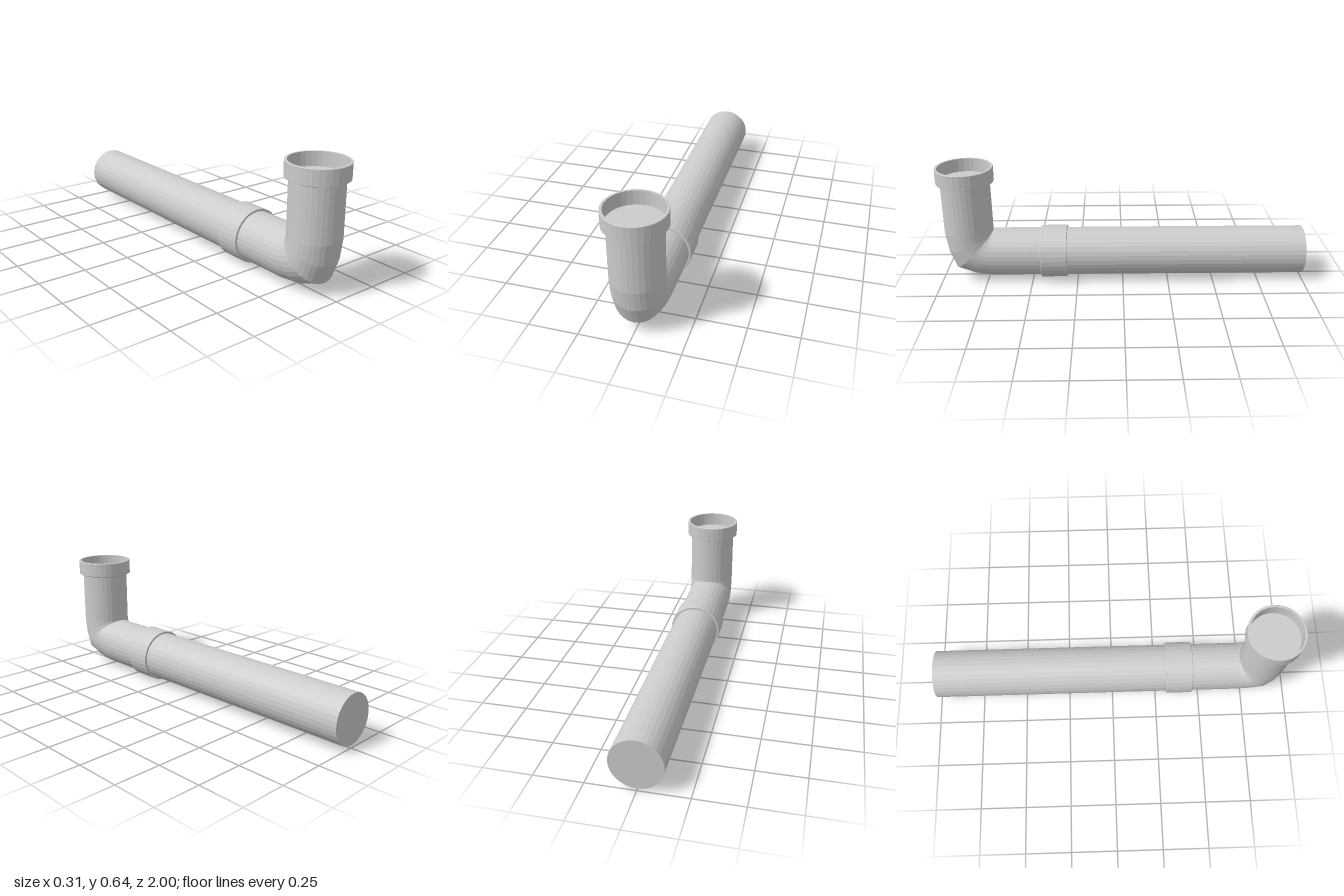
import * as THREE from 'three';

const SIDES = 32;
const R = 0.132;                       // pipe radius
const HINGE = { y: 0.277, z: 0.713 };  // inside corner of the elbow
const AXIS_Y = HINGE.y - R;            // height of the long pipe's axis
const AXIS_Z = HINGE.z + R;            // depth of the upright pipe's axis

const material = new THREE.MeshStandardMaterial({ color: 0xcccccc, flatShading: true });

// Cross-section hinged on the inside corner: angle 0 hangs down, 90 points forward
function ring(angle, span, dy = 0, dz = 0) {
  const t = THREE.MathUtils.degToRad(angle);
  return Array.from({ length: SIDES }, (_, i) => {
    const a = (i / SIDES) * Math.PI * 2;
    const s = (span * (1 - Math.cos(a))) / 2;
    return [R * Math.sin(a), HINGE.y + dy - s * Math.cos(t), HINGE.z + dz + s * Math.sin(t)];
  });
}

// Skin the rings and close both ends
function loft(rings, startCentre, endCentre) {
  const index = [];
  const start = rings.length * SIDES, last = start - SIDES;
  for (let i = 0; i < SIDES; i++) {
    const j = (i + 1) % SIDES;
    for (let k = 0; k < rings.length - 1; k++) {
      const a = k * SIDES, b = a + SIDES;
      index.push(a + i, b + i, a + j, a + j, b + i, b + j);
    }
    index.push(start, i, j, start + 1, last + j, last + i);
  }
  const points = [...rings.flat(), startCentre, endCentre];
  const geometry = new THREE.BufferGeometry();
  geometry.setAttribute('position', new THREE.Float32BufferAttribute(points.flat(), 3));
  geometry.setIndex(index);
  geometry.computeVertexNormals();
  return geometry;
}

function lathe(profile) {
  return new THREE.LatheGeometry(profile.map(([r, y]) => new THREE.Vector2(r, y)), SIDES);
}

function add(group, name, geometry) {
  const mesh = new THREE.Mesh(geometry, material);
  mesh.name = name;
  group.add(mesh);
  return mesh;
}

export function createModel() {
  const group = new THREE.Group();
  group.name = 'drainPipe';

  // Long pipe, mitred elbow and upright pipe as one skin
  const topY = 0.565;
  add(group, 'bentPipe', loft([
    ring(0, 2 * R, 0, -1 - HINGE.z),
    ring(0, 2 * R),
    ring(24, 0.272),
    ring(45, 0.298),
    ring(66, 0.272),
    ring(90, 2 * R),
    ring(90, 2 * R, topY - HINGE.y, 0),
  ], [0, AXIS_Y, -1], [0, topY, AXIS_Z]));

  // Open socket with a chamfered underside and a closed floor
  const socket = add(group, 'socket', lathe([
    [R - 0.002, 0.557], [0.141, 0.557], [0.154, 0.563], [0.154, 0.641], [0.152, 0.643],
    [0.141, 0.643], [0.139, 0.57], [0, 0.57],
  ]));
  socket.position.z = AXIS_Z;

  // Coupling sleeve around the long pipe
  const sleeve = add(group, 'couplingSleeve', lathe([
    [R - 0.002, 0.305], [0.142, 0.305], [0.1445, 0.308],
    [0.1445, 0.447], [0.142, 0.45], [R - 0.002, 0.45],
  ]));
  sleeve.rotation.x = Math.PI / 2;
  sleeve.position.y = AXIS_Y;

  return group;
}
